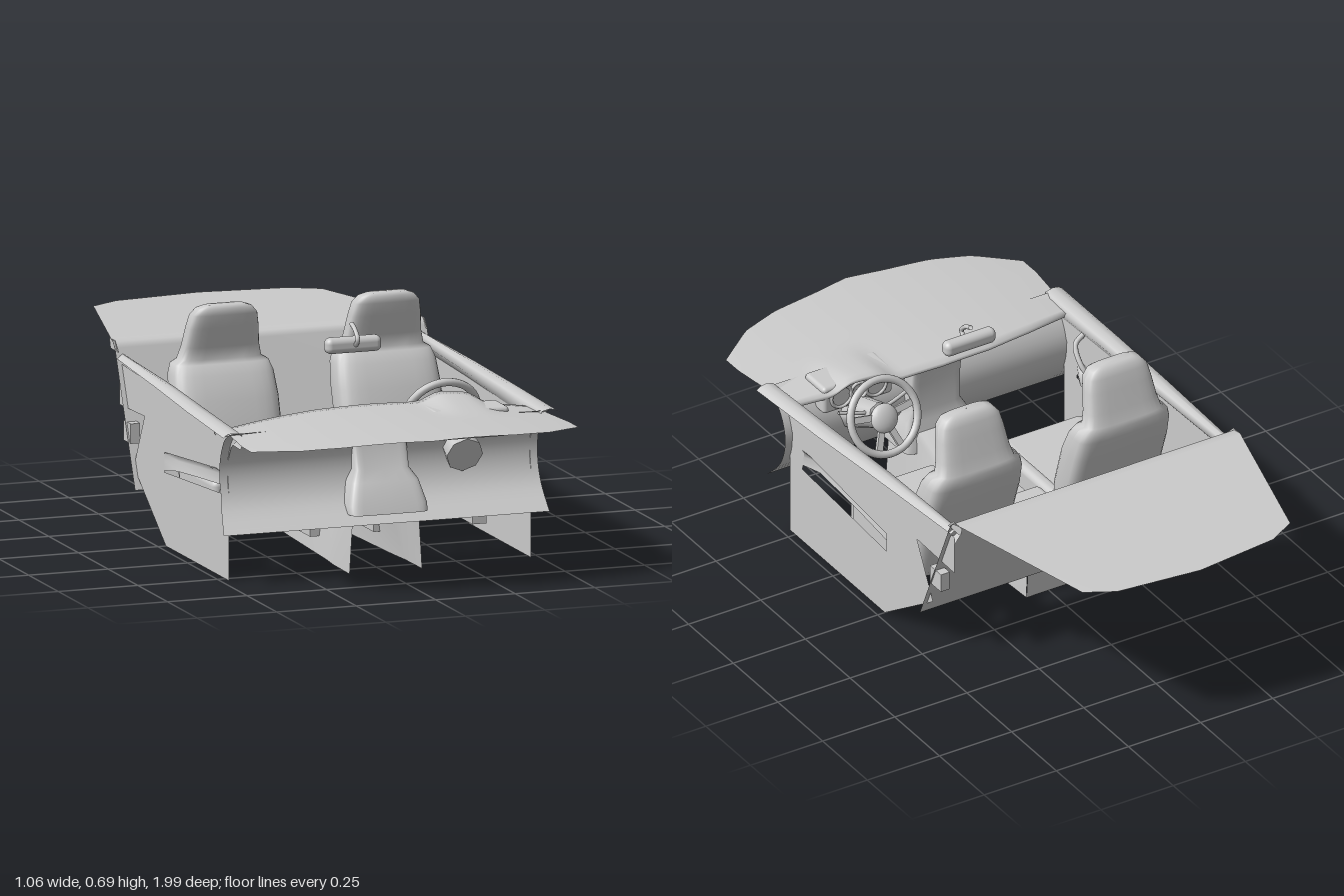
import * as THREE from 'three';
import { RoundedBoxGeometry } from 'three/addons/geometries/RoundedBoxGeometry.js';

const grey = new THREE.MeshStandardMaterial({ color: 0xcccccc, side: THREE.DoubleSide });
const v = (x, y, z) => new THREE.Vector3(x, y, z);

function add(parent, name, geometry, x = 0, y = 0, z = 0) {
  const m = new THREE.Mesh(geometry, grey);
  m.name = name;
  m.position.set(x, y, z);
  parent.add(m);
  return m;
}

// Surface through rows of points; all rows have equal length
function sheet(rows) {
  const n = rows[0].length, index = [];
  for (let i = 0; i < rows.length - 1; i++)
    for (let j = 0; j < n - 1; j++) {
      const a = i * n + j, b = a + n;
      index.push(a, b, a + 1, b, b + 1, a + 1);
    }
  const g = new THREE.BufferGeometry().setFromPoints(rows.flat());
  g.setIndex(index);
  g.computeVertexNormals();
  return g;
}

// Rounded-rectangle ring at height y: half width w, half depth d
function ring(y, z, w, d, power = 0.5, n = 28) {
  const f = (t) => Math.sign(t) * Math.pow(Math.abs(t), power);
  return Array.from({ length: n + 1 }, (_, i) => {
    const a = (i / n) * Math.PI * 2;
    return v(w * f(Math.cos(a)), y, z + d * f(Math.sin(a)));
  });
}

function tube(points, r, closed = false) {
  return new THREE.TubeGeometry(new THREE.CatmullRomCurve3(points, closed), 24, r, 8, closed);
}

// Linear lookup in a list of [key, value] pairs
function lookup(table, t) {
  for (let i = 1; i < table.length; i++)
    if (t <= table[i][0]) {
      const [a, b] = [table[i - 1], table[i]];
      return a[1] + (b[1] - a[1]) * (t - a[0]) / (b[0] - a[0]);
    }
  return table[table.length - 1][1];
}

function createSeat() {
  const seat = new THREE.Group();
  seat.name = 'seat';
  // Backrest flowing into an integrated headrest: [y, z, half width, half depth]
  const back = [
    [0.13, -0.03, 0.12, 0.04], [0.16, -0.035, 0.15, 0.06], [0.28, -0.06, 0.163, 0.065], [0.42, -0.105, 0.163, 0.068],
    [0.49, -0.13, 0.158, 0.06], [0.52, -0.142, 0.148, 0.05], [0.532, -0.145, 0.128, 0.04], [0.57, -0.135, 0.118, 0.037],
    [0.63, -0.118, 0.11, 0.037], [0.67, -0.107, 0.102, 0.035], [0.69, -0.102, 0.085, 0.03], [0.699, -0.1, 0.06, 0.018], [0.7, -0.1, 0.001, 0.001],
  ];
  add(seat, 'backrest', sheet(back.map((s) => ring(...s))));
  const cushion = new RoundedBoxGeometry(0.31, 0.14, 0.35, 4, 0.035);
  const p = cushion.attributes.position;
  for (let i = 0; i < p.count; i++) if (p.getY(i) > 0) p.setY(i, p.getY(i) + 0.08 * p.getZ(i));
  cushion.computeVertexNormals();
  add(seat, 'cushion', cushion, 0, 0.16, 0.145);
  for (const s of [-1, 1]) {
    add(seat, 'sideBolster', new RoundedBoxGeometry(0.045, 0.14, 0.3, 3, 0.02), s * 0.15, 0.18, 0.12);
    add(seat, 'seatRail', new THREE.BoxGeometry(0.045, 0.06, 0.26), s * 0.155, 0.09, 0.14);
  }
  return seat;
}

function createDoor(s) {
  const door = new THREE.Group();
  door.name = s > 0 ? 'leftDoor' : 'rightDoor';
  // Flat panel drawn in (z, y) with an opening behind the armrest
  const outline = [[0.53, 0.005], [0, 0.005], [-0.27, 0.19], [-0.18, 0.36], [-0.39, 0.355], [-0.39, 0.48],
    [0.61, 0.445], [0.55, 0.41], [0.515, 0.35], [0.53, 0.27]];
  const opening = [[0.45, 0.325], [-0.01, 0.285], [-0.01, 0.225], [0.46, 0.255]];
  const toV2 = ([a, b]) => new THREE.Vector2(a, b);
  const shape = new THREE.Shape(outline.map(toV2));
  shape.holes.push(new THREE.Path(opening.map(toV2)));
  const panel = new THREE.ShapeGeometry(shape);
  panel.rotateY(-Math.PI / 2);
  add(door, 'doorPanel', panel, s * 0.475, 0, 0);
  // Rolled top rail, wider at the front
  const rail = [[0.63, 0.53, 0.465, 0.462], [0.3, 0.52, 0.457, 0.475], [0, 0.506, 0.45, 0.488], [-0.39, 0.487, 0.45, 0.5]];
  add(door, 'doorRail', sheet(rail.map(([z, o, i, y]) => [
    v(s * o, y - 0.005, z), v(s * (o - 0.012), y + 0.004, z), v(s * (o + i) / 2, y + 0.008, z),
    v(s * (i + 0.008), y + 0.002, z), v(s * i, y - 0.015, z), v(s * 0.475, y - 0.045, z)])));
  // Hollow armrest bulging into the cabin
  add(door, 'armrest', sheet([[0.46, 0.325, 0], [0.4, 0.322, 0.03], [0.2, 0.304, 0.034], [0.03, 0.289, 0.03], [-0.01, 0.285, 0]]
    .map(([z, y, d]) => [v(s * 0.475, y, z), v(s * (0.475 - d * 0.8), y - 0.005, z), v(s * (0.475 - d), y - 0.025, z),
      v(s * (0.475 - d * 0.8), y - 0.055, z)])));
  add(door, 'pullHandle', tube([v(s * 0.473, 0.43, 0.42), v(s * 0.44, 0.41, 0.41), v(s * 0.435, 0.36, 0.37), v(s * 0.46, 0.31, 0.34)], 0.008));
  add(door, 'beltReel', new THREE.BoxGeometry(0.03, 0.06, 0.06), s * 0.47, 0.29, -0.3);
  add(door, 'cornerTrim', sheet([[v(s * 0.485, 0.545, -0.4), v(s * 0.485, 0.545, -0.45)], [v(s * 0.485, 0.515, -0.37), v(s * 0.485, 0.515, -0.44)]]));
  return door;
}

function createSteering() {
  const steering = new THREE.Group();
  steering.name = 'steering';
  const wheel = new THREE.Group();
  wheel.name = 'steeringWheel';
  add(wheel, 'rim', new THREE.TorusGeometry(0.113, 0.012, 10, 40));
  const hub = add(wheel, 'hub', new THREE.SphereGeometry(0.045, 20, 12), 0, -0.005, 0);
  hub.scale.set(1, 1, 0.45);
  for (const a of [0.15, Math.PI - 0.15, -1.2, Math.PI + 1.2]) {
    const spoke = add(wheel, 'spoke', new THREE.BoxGeometry(0.08, 0.02, 0.012), 0.073 * Math.cos(a), 0.073 * Math.sin(a), 0.004);
    spoke.rotation.z = a;
  }
  wheel.rotation.x = 0.4;
  wheel.position.set(0.255, 0.42, 0.36);
  steering.add(wheel);
  const column = add(steering, 'column', new THREE.CylinderGeometry(0.057, 0.04, 0.2, 8), 0.255, 0.375, 0.47);
  column.rotation.x = Math.PI / 2 + 0.4;
  for (const s of [-1, 1])
    add(steering, 'stalk', tube([v(0.255, 0.41, 0.41), v(0.255 + s * 0.06, 0.425, 0.41), v(0.255 + s * 0.12, 0.44, 0.42)], 0.006));
  return steering;
}

function createDashboard() {
  const dash = new THREE.Group();
  dash.name = 'dashboard';
  // Upper deck between a curved rear lip and a pointed front edge, with a hood bump
  const rear = [[0, 0.432], [0.18, 0.44], [0.35, 0.47], [0.48, 0.5], [0.52, 0.51]];
  const front = [[0, 0.985], [0.12, 0.965], [0.27, 0.95], [0.39, 0.915], [0.515, 0.825]];
  const rows = [];
  for (let i = 0; i <= 16; i++) {
    const t = i / 16, row = [];
    for (let j = 0; j <= 48; j++) {
      const u = (j / 48) * 2 - 1, w = 0.485 + 0.03 * Math.min(1, t * 1.3);
      const ax = Math.abs(u) * 0.515, x = u * w;
      const z0 = lookup(rear, ax), z = z0 + (lookup(front, ax) - z0) * t;
      const bump = 0.032 * Math.exp(-Math.pow((x - 0.255) / 0.08, 4)) * Math.max(0, 1 - t * 2.2);
      row.push(v(x, 0.483 - 0.027 * u * u + bump - 0.004 * t, z));
    }
    rows.push(row);
  }
  rows.unshift(rows[0].map((p) => v(p.x, p.y - 0.02, p.z + 0.012)));
  add(dash, 'dashTop', sheet(rows));
  // Bulkhead curving towards the cabin
  const profile = new THREE.SplineCurve([[0.62, 0.465], [0.56, 0.435], [0.523, 0.37], [0.52, 0.3], [0.55, 0.23], [0.62, 0.16]]
    .map(([z, y]) => new THREE.Vector2(z, y))).getPoints(18);
  add(dash, 'lowerPanel', sheet(profile.map((q) => [v(q.y < 0.25 ? -0.5 - (0.25 - q.y) * 0.27 : -0.5, q.y, q.x), v(0, q.y, q.x), v(0.5, q.y, q.x)])));
  // Instrument binnacle and dials
  add(dash, 'instrumentBox', new RoundedBoxGeometry(0.24, 0.09, 0.11, 3, 0.012), 0.26, 0.437, 0.55);
  for (const [x, r] of [[0.2, 0.035], [0.26, 0.028], [0.32, 0.035]])
    add(dash, 'dial', new THREE.TorusGeometry(r, 0.005, 8, 24), x, 0.44, 0.492);
  // Centre stack: [y, half width, rear z, front z]
  const stack = [[0.19, 0.123, 0.44, 0.63], [0.215, 0.123, 0.445, 0.62], [0.28, 0.105, 0.465, 0.59], [0.312, 0.085, 0.47, 0.56],
    [0.4, 0.085, 0.475, 0.53], [0.47, 0.085, 0.465, 0.52]];
  add(dash, 'centreStack', sheet(stack.map(([y, w, a, b]) => ring(y, (a + b) / 2, w, (b - a) / 2, 0.25))));
  return dash;
}

function createConsole() {
  const con = new THREE.Group();
  con.name = 'centreConsole';
  // Tunnel open underneath: [z, base half width, top half width, top y]
  const tunnel = [[0.58, 0.114, 0.1, 0.25], [0.44, 0.112, 0.085, 0.25], [0.36, 0.105, 0.08, 0.205], [0.02, 0.09, 0.078, 0.2], [-0.155, 0.08, 0.076, 0.2]];
  const rows = tunnel.map(([z, b, t, y]) => [v(-b, 0.008, z), v(-t, y - 0.015, z), v(-t + 0.012, y, z), v(t - 0.012, y, z), v(t, y - 0.015, z), v(b, 0.008, z)]);
  add(con, 'tunnel', sheet(rows));
  add(con, 'tunnelRear', sheet([[v(-0.08, 0.008, -0.155), v(0.08, 0.008, -0.155)], [v(-0.076, 0.2, -0.165), v(0.076, 0.2, -0.165)]]));
  add(con, 'consoleArmrest', new RoundedBoxGeometry(0.15, 0.07, 0.2, 4, 0.02), 0, 0.225, -0.075);
  add(con, 'shiftPlate', new THREE.BoxGeometry(0.085, 0.012, 0.1), 0, 0.212, 0.32);
  add(con, 'shiftLever', new THREE.CylinderGeometry(0.008, 0.02, 0.09, 12), 0, 0.25, 0.32);
  add(con, 'shiftKnob', new THREE.SphereGeometry(0.02, 16, 12), 0, 0.3, 0.32);
  add(con, 'handbrake', tube([v(0.05, 0.205, 0.25), v(0.05, 0.225, 0.2), v(0.05, 0.255, 0.08)], 0.011));
  return con;
}

export function createModel() {
  const model = new THREE.Group();
  model.name = 'carInterior';
  for (const s of [-1, 1]) {
    const seat = createSeat();
    seat.position.x = s * 0.255;
    model.add(seat, createDoor(s));
  }
  model.add(createDashboard(), createSteering(), createConsole());

  // Rear wall folding into a tapered parcel shelf: [z, y, half width]
  const shelf = [[-0.22, 0.13, 0.49], [-0.39, 0.525, 0.49], [-0.405, 0.541, 0.49], [-0.44, 0.546, 0.485]];
  add(model, 'rearWall', sheet(shelf.map(([z, y, w]) => [v(-w, y, z), v(0, y, z), v(w, y, z)])));
  const edge = [[0, -1], [0.27, -0.97], [0.36, -0.92]];
  const xs = [-1, -0.75, 0, 0.75, 1];
  add(model, 'parcelShelf', sheet([0, 0.5, 1].map((t) => xs.map((u) => {
    const x = u * (0.485 + (0.36 - 0.485) * t);
    return v(x, 0.546 - 0.008 * t, -0.44 + (lookup(edge, Math.abs(u) * 0.36) + 0.44) * t);
  }))));

  // Rear-view mirror on a hooked stem
  const mirror = new THREE.Group();
  mirror.name = 'rearViewMirror';
  add(mirror, 'mirrorHousing', new RoundedBoxGeometry(0.175, 0.048, 0.042, 4, 0.018), 0.003, 0.635, 0.292);
  add(mirror, 'mirrorStem', tube([v(0.006, 0.693, 0.275), v(0.006, 0.68, 0.305), v(0.006, 0.655, 0.328), v(0.006, 0.635, 0.31)], 0.007));
  model.add(mirror);
  return model;
}
